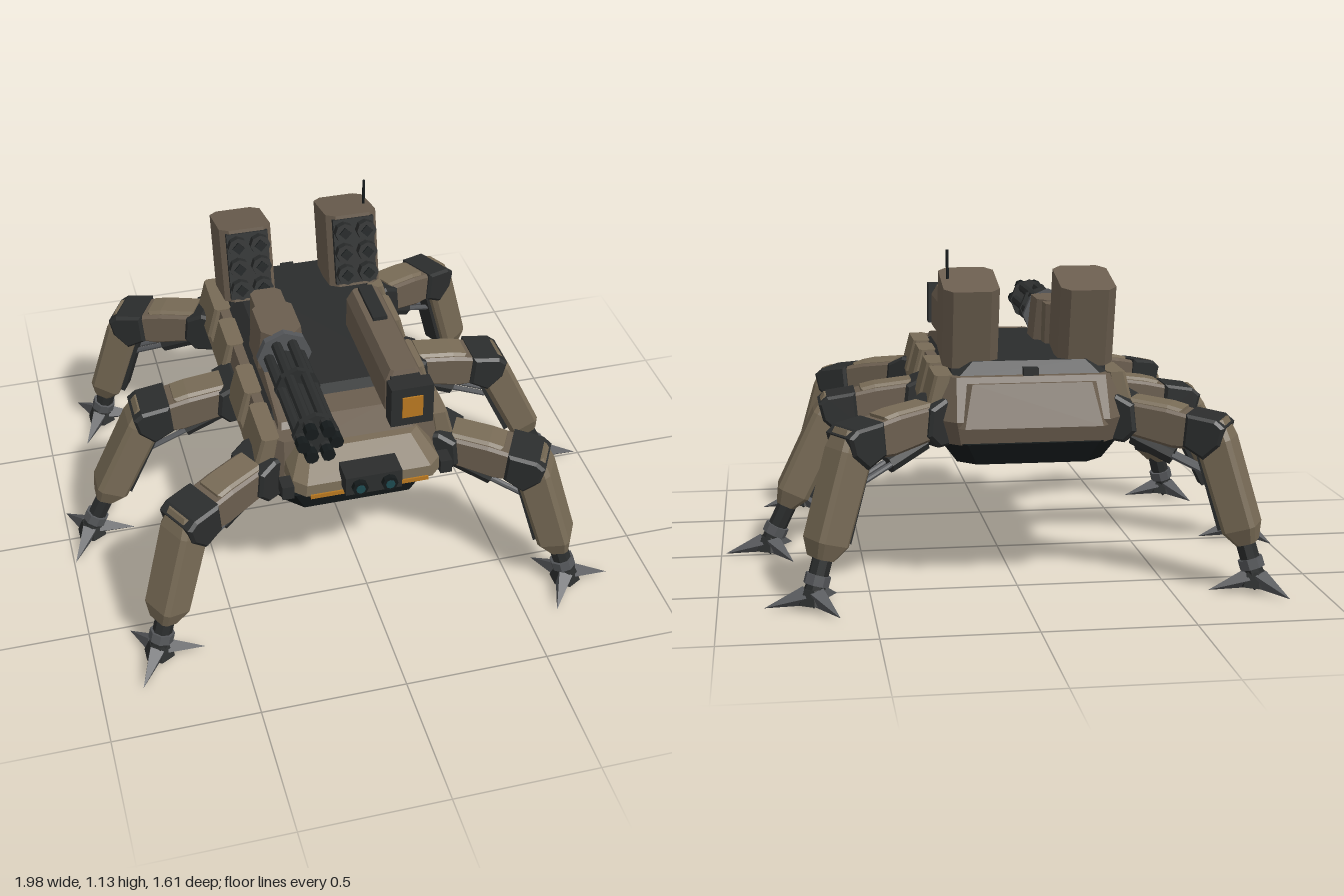
import * as THREE from 'three';
import { ConvexGeometry } from 'three/addons/geometries/ConvexGeometry.js';

const paint = (color) => new THREE.MeshStandardMaterial({ color, flatShading: true });
const brown = paint(0x6b5e4f), tan = paint(0x786b56), dark = paint(0x2b2d2d);
const black = paint(0x151a1b), steel = paint(0x55575a), orange = paint(0xb87820), teal = paint(0x1d4a50);

function add(parent, name, geometry, material, x = 0, y = 0, z = 0) {
  const mesh = new THREE.Mesh(geometry, material);
  mesh.name = name;
  mesh.position.set(x, y, z);
  parent.add(mesh);
  return mesh;
}

function group(parent, name, x = 0, y = 0, z = 0) {
  const g = new THREE.Group();
  g.name = name;
  g.position.set(x, y, z);
  parent.add(g);
  return g;
}

const box = (w, h, d) => new THREE.BoxGeometry(w, h, d);

// Convex block through chamfered rectangles: [y, x0, x1, z0, z1, chamfer]
function block(...rings) {
  const points = [];
  for (const [y, x0, x1, z0, z1, c = 0.01] of rings) {
    for (const [x, dx] of [[x0, c], [x1, -c]]) {
      for (const [z, dz] of [[z0, c], [z1, -c]]) {
        points.push(new THREE.Vector3(x + dx, y, z), new THREE.Vector3(x, y, z + dz));
      }
    }
  }
  return new ConvexGeometry(points);
}

// Side profile in x and y, extruded across z with small bevels
function prism(profile, width, bevel = 0.01) {
  const shape = new THREE.Shape(profile.map(([x, y]) => new THREE.Vector2(x, y)));
  const depth = width - 2 * bevel;
  return new THREE.ExtrudeGeometry(shape, {
    depth, bevelEnabled: true, bevelSize: bevel, bevelThickness: bevel, bevelOffset: -bevel, bevelSegments: 1,
  }).translate(0, 0, -depth / 2);
}

// Cylinder or cone running between two points
function rod(a, b, r0, r1 = r0, sides = 8) {
  const from = new THREE.Vector3(...a), to = new THREE.Vector3(...b);
  const dir = to.clone().sub(from);
  const g = new THREE.CylinderGeometry(r1, r0, dir.length(), sides);
  g.applyQuaternion(new THREE.Quaternion().setFromUnitVectors(new THREE.Vector3(0, 1, 0), dir.normalize()));
  return g.translate(...from.add(to).multiplyScalar(0.5).toArray());
}

// Leg reaching along its own +x; reach is the distance from hip to foot
function addLeg(body, name, x, z, yaw, reach) {
  const leg = group(body, name, x, 0, z);
  leg.rotation.y = yaw;
  add(leg, 'hipBracket', prism([[-0.08, 0.5], [0.02, 0.49], [0.06, 0.53], [0.05, 0.62], [-0.01, 0.65], [-0.08, 0.64]], 0.17), dark);
  add(leg, 'thigh', prism([[0.0, 0.52], [0.18, 0.48], [0.27, 0.48], [0.28, 0.585], [0.16, 0.61], [0.0, 0.63]], 0.135), brown);
  add(leg, 'thighPlate', prism([[0.03, 0.6], [0.21, 0.575], [0.21, 0.61], [0.16, 0.622], [0.03, 0.637]], 0.11), tan);
  add(leg, 'knee', prism([[0.22, 0.49], [0.29, 0.45], [0.345, 0.5], [0.36, 0.56], [0.33, 0.585], [0.23, 0.6]], 0.165), dark);
  // Strut and paired pistons beneath the thigh
  add(leg, 'strut', rod([0.03, 0.5, 0], [0.17, 0.44, 0], 0.032), dark);
  for (const s of [-1, 1]) {
    add(leg, 'piston', rod([0.12, 0.465, s * 0.02], [0.3, 0.39, s * 0.02], 0.01), steel);
  }
  const shin = group(leg, 'lowerLeg', 0.31, 0.53, 0);
  shin.rotation.z = Math.atan2(reach - 0.31, 0.48);
  const length = Math.hypot(reach - 0.31, 0.48);
  add(shin, 'shin', block(
    [0.04, -0.03, 0.05, -0.055, 0.055, 0.015],
    [-0.03, -0.06, 0.06, -0.068, 0.068, 0.015],
    [-0.33, -0.055, 0.06, -0.066, 0.066, 0.015],
    [-0.385, -0.025, 0.04, -0.045, 0.045, 0.012]), tan);
  add(shin, 'shinBack', box(0.02, 0.26, 0.07), dark, -0.062, -0.19, 0);
  add(shin, 'ankle', rod([0, -0.36, 0], [0, -length, 0], 0.034), dark);
  add(shin, 'ankleCollar', rod([0, -length + 0.065, 0], [0, -length + 0.03, 0], 0.043), steel);

  // Three-clawed foot, always turned the same way
  const c = Math.cos(yaw), s = Math.sin(yaw);
  const foot = group(body, 'foot', x + c * reach, 0, z - s * reach);
  add(foot, 'footHub', new THREE.CylinderGeometry(0.035, 0.055, 0.05, 6), dark, 0, 0.045, 0);
  add(foot, 'centreSpike', rod([0, 0.035, 0], [0, 0, 0], 0.035, 0, 6), dark);
  for (let i = 0; i < 3; i++) {
    const a = i * Math.PI * 2 / 3, u = Math.cos(a), v = Math.sin(a);
    add(foot, 'claw', rod([u * 0.025, 0.045, v * 0.025], [u * 0.16, 0.008, v * 0.16], 0.034, 0, 4), steel);
  }
}

// Tilted launcher with two columns of three tubes
function addLauncher(body, x) {
  const pod = group(body, 'launcher', x, 0.9, -0.365);
  pod.rotation.x = -0.24;
  add(pod, 'launcherCase', block(
    [-0.135, -0.093, 0.093, -0.12, 0.12, 0.03],
    [0.135, -0.093, 0.093, -0.12, 0.12, 0.03]), brown);
  add(pod, 'launcherFace', box(0.15, 0.245, 0.02), dark, 0, 0, 0.118);
  for (const tx of [-0.04, 0.04]) {
    for (const ty of [-0.08, 0, 0.08]) {
      add(pod, 'launchTube', rod([tx, ty, 0.12], [tx, ty, 0.16], 0.036), dark);
      add(pod, 'tubeCap', rod([tx, ty, 0.15], [tx, ty, 0.166], 0.022, 0.022, 4), black);
    }
  }
  add(body, 'launcherMount', box(0.13, 0.07, 0.15), dark, x, 0.76, -0.37);
}

export function createModel() {
  const model = new THREE.Group();
  model.name = 'sixLeggedWalker';
  const body = group(model, 'body', -0.045);

  // Hull
  add(body, 'lowerHull', block([0.43, -0.245, 0.245, -0.53, 0.52, 0.06], [0.505, -0.3, 0.3, -0.57, 0.54, 0.08]), black);
  add(body, 'mainHull', block(
    [0.5, -0.3, 0.3, -0.55, 0.52, 0.06],
    [0.58, -0.325, 0.325, -0.57, 0.53, 0.07],
    [0.72, -0.3, 0.3, -0.51, 0.51, 0.05]), brown);
  add(body, 'deck', block([0.715, -0.27, 0.27, -0.48, 0.42, 0.03], [0.765, -0.22, 0.22, -0.46, 0.29, 0.03]), dark);
  add(body, 'foredeck', block([0.715, -0.2, 0.2, 0.28, 0.53], [0.75, -0.12, 0.12, 0.29, 0.43]), brown);
  add(body, 'rearPlate', block(
    [0.56, -0.25, 0.25, -0.585, -0.5, 0.02], [0.7, -0.22, 0.22, -0.535, -0.48, 0.02]), brown);
  add(body, 'rearLatch', box(0.05, 0.03, 0.05), dark, 0, 0.73, -0.48);

  for (const s of [-1, 1]) {
    // Sloped side armour
    for (const z of [-0.39, -0.145, 0.145, 0.39]) {
      const w = Math.abs(z) > 0.3 ? 0.105 : 0.085;
      const plate = add(body, 'sidePlate', block(
        [0.55, 0.29, 0.335, -w, w], [0.61, 0.29, 0.35, -w, w], [0.725, 0.26, 0.32, -w, w]), tan, 0, 0, z);
      if (s < 0) plate.rotation.y = Math.PI;
    }
    add(body, 'gunRail', block(
      [0.715, -0.075, 0.075, 0.03, 0.45], [0.74, -0.07, 0.07, 0.03, 0.43], [0.79, -0.06, 0.06, 0.04, 0.09]), brown, s * 0.18);
    add(body, 'noseLamp', box(0.04, 0.05, 0.06), dark, s * 0.27, 0.62, 0.62);
    addLauncher(body, s * 0.195);
  }

  // Nose with sensor
  add(body, 'nose', block(
    [0.57, -0.23, 0.23, 0.45, 0.59, 0.03],
    [0.61, -0.255, 0.255, 0.45, 0.67, 0.04],
    [0.65, -0.25, 0.25, 0.45, 0.665, 0.04],
    [0.715, -0.2, 0.2, 0.45, 0.56, 0.03]), tan);
  add(body, 'noseStrip', box(0.4, 0.015, 0.02), orange, 0, 0.608, 0.665);
  add(body, 'sensor', box(0.19, 0.07, 0.09), dark, 0, 0.665, 0.675);
  for (const x of [-0.05, 0.05]) {
    add(body, 'sensorEye', rod([x, 0.665, 0.71], [x, 0.665, 0.738], 0.027), black);
    add(body, 'sensorLens', rod([x, 0.665, 0.73], [x, 0.665, 0.742], 0.016), teal);
  }

  // Rotary gun on the right
  const gun = group(body, 'rotaryGun', -0.17, 0.83, 0);
  add(gun, 'gunMount', box(0.1, 0.1, 0.16), dark, 0, -0.06, 0.07);
  add(gun, 'gunHousing', block([-0.07, -0.085, 0.085, -0.03, 0.17, 0.03], [0.08, -0.07, 0.07, -0.03, 0.17, 0.03]), brown);
  add(gun, 'gunRear', block([-0.07, -0.06, 0.06, -0.12, 0, 0.02], [0.075, -0.055, 0.055, -0.12, 0, 0.02]), brown);
  add(gun, 'gunCollar', rod([0, 0, 0.165], [0, 0, 0.19], 0.095), steel);
  add(gun, 'gunSpindle', rod([0, 0, 0.18], [0, 0, 0.65], 0.025), dark);
  for (let i = 0; i < 6; i++) {
    const a = i * Math.PI / 3, u = Math.cos(a) * 0.055, v = Math.sin(a) * 0.055;
    add(gun, 'barrel', rod([u, v, 0.18], [u, v, 0.68], 0.019), dark);
    add(gun, 'muzzle', rod([u, v, 0.65], [u, v, 0.685], 0.023), black);
  }
  for (const z of [0.36, 0.61]) add(gun, 'barrelClamp', rod([0, 0, z], [0, 0, z + 0.02], 0.078), dark);

  // Boxed beam gun on the left
  const beam = group(body, 'beamGun', 0.17, 0.835, 0);
  add(beam, 'beamCase', block([-0.075, -0.065, 0.065, -0.035, 0.48, 0.01], [0.04, -0.065, 0.065, -0.035, 0.48, 0.01],
    [0.078, -0.045, 0.045, -0.03, 0.47, 0.01]), brown);
  add(beam, 'beamNeck', box(0.1, 0.12, 0.05), dark, 0, 0, 0.495);
  add(beam, 'beamFrame', box(0.145, 0.15, 0.06), dark, 0, 0, 0.54);
  add(beam, 'beamLens', box(0.07, 0.08, 0.01), orange, 0, 0, 0.571);
  add(beam, 'beamTopRail', box(0.05, 0.02, 0.2), dark, 0, 0.082, 0.08);

  add(body, 'antenna', rod([0.265, 0.95, -0.385], [0.265, 1.13, -0.385], 0.005), black);

  // Legs: steep at the corners, wider in the middle
  for (const s of [-1, 1]) {
    const turn = (yaw) => (s > 0 ? yaw : Math.PI - yaw);
    addLeg(body, 'frontLeg', s * 0.33, 0.45, turn(-0.49), 0.459);
    addLeg(body, 'middleLeg', s * 0.33, 0, turn(0), 0.54);
    addLeg(body, 'rearLeg', s * 0.33, -0.45, turn(0.49), 0.459);
  }
  return model;
}
